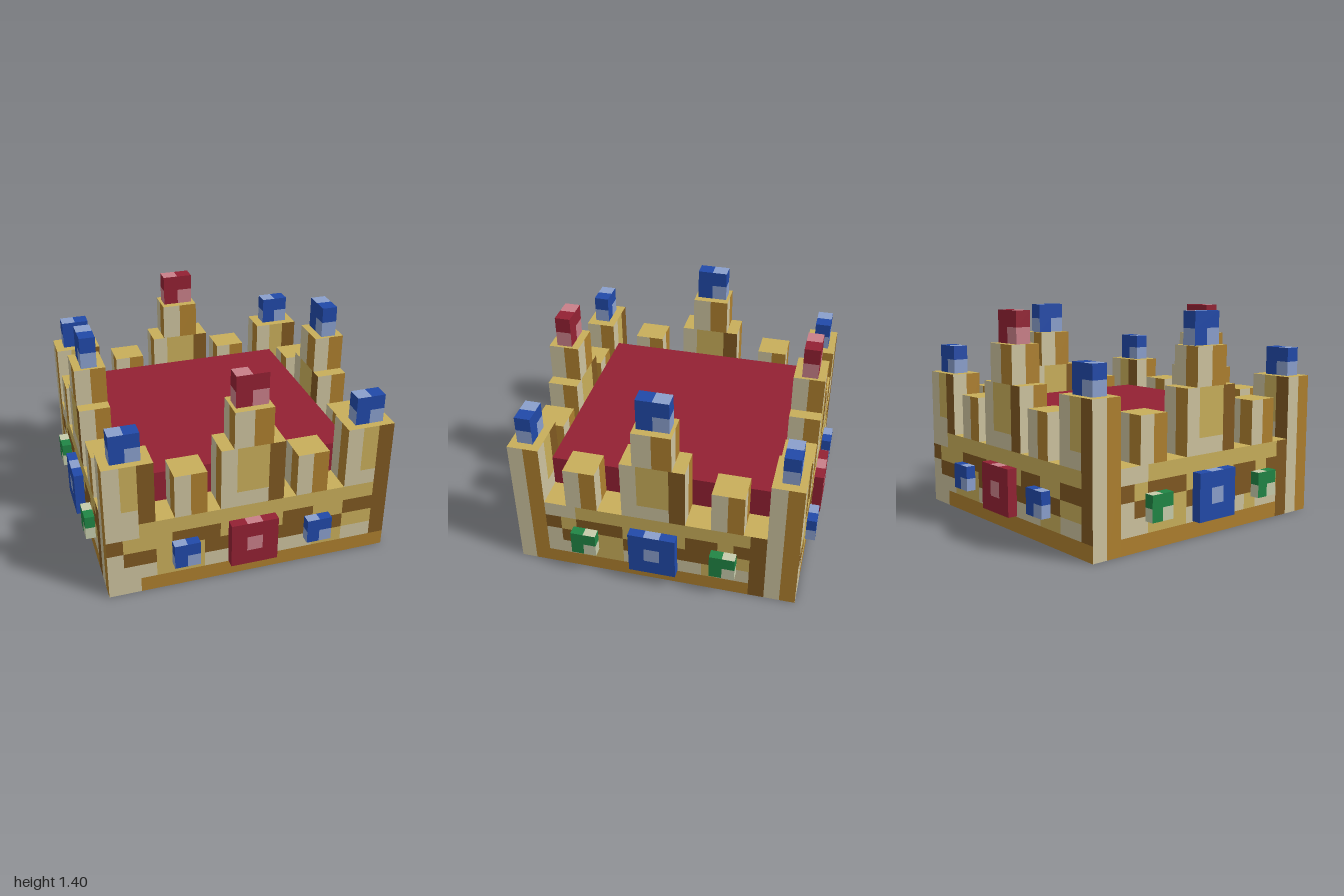
import * as THREE from 'three';

const mat = (name, color) => new THREE.MeshStandardMaterial({ name, color });

// One letter per flat colour
const KEYS = 'cgobrpulnm';
const MATERIALS = [
  mat('cream gold', 0xccc29e), mat('gold', 0xc8ae5a), mat('ochre', 0xad7f2e), mat('brown', 0x7f5821),
  mat('red', 0x932133), mat('pink', 0xc97f88), mat('blue', 0x2149a8), mat('pale blue', 0x8a9fcc),
  mat('green', 0x208545), mat('pale green', 0xc5cbab),
];

// Face frames: [u, v, side]; rows of letters run along u, from the top of v downward
const FACES = {
  front: [[1, 0, 0], [0, 1, 0]], back: [[-1, 0, 0], [0, 1, 0]],
  left: [[0, 0, -1], [0, 1, 0]], right: [[0, 0, 1], [0, 1, 0]],
  top: [[1, 0, 0], [0, 0, -1]], bottom: [[1, 0, 0], [0, 0, 1]],
};

// Box whose faces are divided into flat coloured cells
function pixelBox(name, [x0, x1], [y0, y1], [z0, z1], patterns) {
  const half = new THREE.Vector3(x1 - x0, y1 - y0, z1 - z0).multiplyScalar(0.5);
  const buckets = MATERIALS.map(() => []);
  for (const face in FACES) {
    const u = new THREE.Vector3(...FACES[face][0]), v = new THREE.Vector3(...FACES[face][1]);
    const n = u.clone().cross(v).multiply(half);
    u.multiply(half);
    v.multiply(half);
    const rows = patterns[face];
    const at = (a, b) => n.clone().addScaledVector(u, a * 2 - 1).addScaledVector(v, 1 - b * 2);
    rows.forEach((row, j) => {
      const top = j / rows.length, bottom = (j + 1) / rows.length;
      for (let i = 0, e; i < row.length; i = e) {
        for (e = i + 1; row[e] === row[i];) e++;
        const a = i / row.length, b = e / row.length;
        buckets[KEYS.indexOf(row[i])].push(
          at(a, bottom), at(b, bottom), at(b, top), at(a, bottom), at(b, top), at(a, top));
      }
    });
  }
  const geometry = new THREE.BufferGeometry().setFromPoints(buckets.flat());
  let start = 0;
  buckets.forEach((points, i) => {
    if (points.length) geometry.addGroup(start, points.length, i);
    start += points.length;
  });
  geometry.computeVertexNormals();
  const mesh = new THREE.Mesh(geometry, MATERIALS);
  mesh.name = name;
  mesh.position.set((x0 + x1) / 2, (y0 + y1) / 2, (z0 + z1) / 2);
  return mesh;
}

const LONG_WALL = ['ccgggggggggggggggb', 'bgggbbbggggbbggbbb', 'cbbgggbbbbbbbbbggb', 'cccgggcccccccggccb', 'ccoooooooooooooooo'];
const SHORT_WALL = ['ccgggggggggggb', 'bgbbbggggbbgbb', 'cbbggbbbbbbggb', 'ccgggcccccgccb', 'ooooooooooooob'];
const CORNER = ['cgb', 'cgb', 'cgb', 'ccb'];
const TOWER = ['cggb', 'cggb', 'cggb', 'cccb'];
const PLAIN = ['co'];

const IN = 0.73, OUT = 0.935;

export function createModel() {
  const crown = new THREE.Group();
  crown.name = 'crown';

  // Places a box on one of the four sides: s = span along the side, d = distance from the centre
  function place(name, alongX, sign, s, y, d, { face, end, top, bottom }) {
    const depth = sign > 0 ? d : [-d[1], -d[0]];
    // On z-running sides the first cell of a top pattern lies toward -z
    const flat = (p) => (alongX ? [p] : [...p]);
    const patterns = { top: flat(top), bottom: flat(bottom) };
    patterns.front = patterns.back = alongX ? face : end;
    patterns.left = patterns.right = alongX ? end : face;
    crown.add(alongX ? pixelBox(name, s, y, depth, patterns) : pixelBox(name, depth, y, s, patterns));
  }

  for (const alongX of [true, false]) {
    for (const sign of [1, -1]) {
      const block = (name, s, y, face) =>
        place(name, alongX, sign, s, y, [IN, OUT], { face, end: PLAIN, top: 'g', bottom: 'b' });
      // Two-tone jewel standing on a tower
      const jewel = (name, s, y, d, a, b) => place(name, alongX, sign, s, y, d,
        { face: [a + a, a + b], end: [a, b], top: b + a, bottom: b + a });

      // Band and battlements
      const reach = alongX ? OUT : IN;
      block('bandWall', [-reach, reach], [0, 0.52], alongX ? LONG_WALL : SHORT_WALL);
      block('middleTower', [-0.207, 0.207], [0.52, 0.94], TOWER);
      block('middleTowerTop', [-0.125, 0.125], [0.94, 1.19], PLAIN);
      for (const m of [-1, 1]) {
        const c = m * (alongX ? 0.398 : 0.477);
        block('smallMerlon', [c - 0.104, c + 0.104], [0.52, 0.815], PLAIN);
      }

      // Jewels on the tower tops
      const [main, shine] = alongX ? ['r', 'p'] : ['u', 'l'];
      jewel('towerJewel', [-0.104, 0.104], [1.19, 1.4], [0.782, 0.885], main, shine);
      if (alongX) {
        for (const m of [-1, 1]) {
          const c = m * 0.779, j = m * 0.782;
          block('cornerTower', [c - 0.156, c + 0.156], [0.52, 0.94], CORNER);
          jewel('cornerJewel', [j - 0.094, j + 0.094], [0.94, 1.13], [0.785, 0.888], 'u', 'l');
        }
      }

      // Gems set into the band
      place('largeBandGem', alongX, sign, [-0.155, 0.155], [0.11, 0.42], [0.93, 1], {
        face: [main.repeat(3), main + shine + main, main.repeat(3)],
        end: [main], top: main + shine + main, bottom: main,
      });
      for (const m of [-1, 1]) {
        const c = m * (alongX ? 0.44 : 0.46);
        const [a, b] = alongX ? ['u', 'l'] : ['n', 'm'];
        jewel('smallBandGem', [c - 0.083, c + 0.083], [0.18, 0.348], [0.93, 1], a, b);
      }
    }
  }

  // Red cushion filling the ring
  const cushion = new THREE.Mesh(new THREE.BoxGeometry(IN * 2, 0.42, IN * 2), MATERIALS[KEYS.indexOf('r')]);
  cushion.name = 'cushion';
  cushion.position.y = 0.52;
  crown.add(cushion);

  return crown;
}
